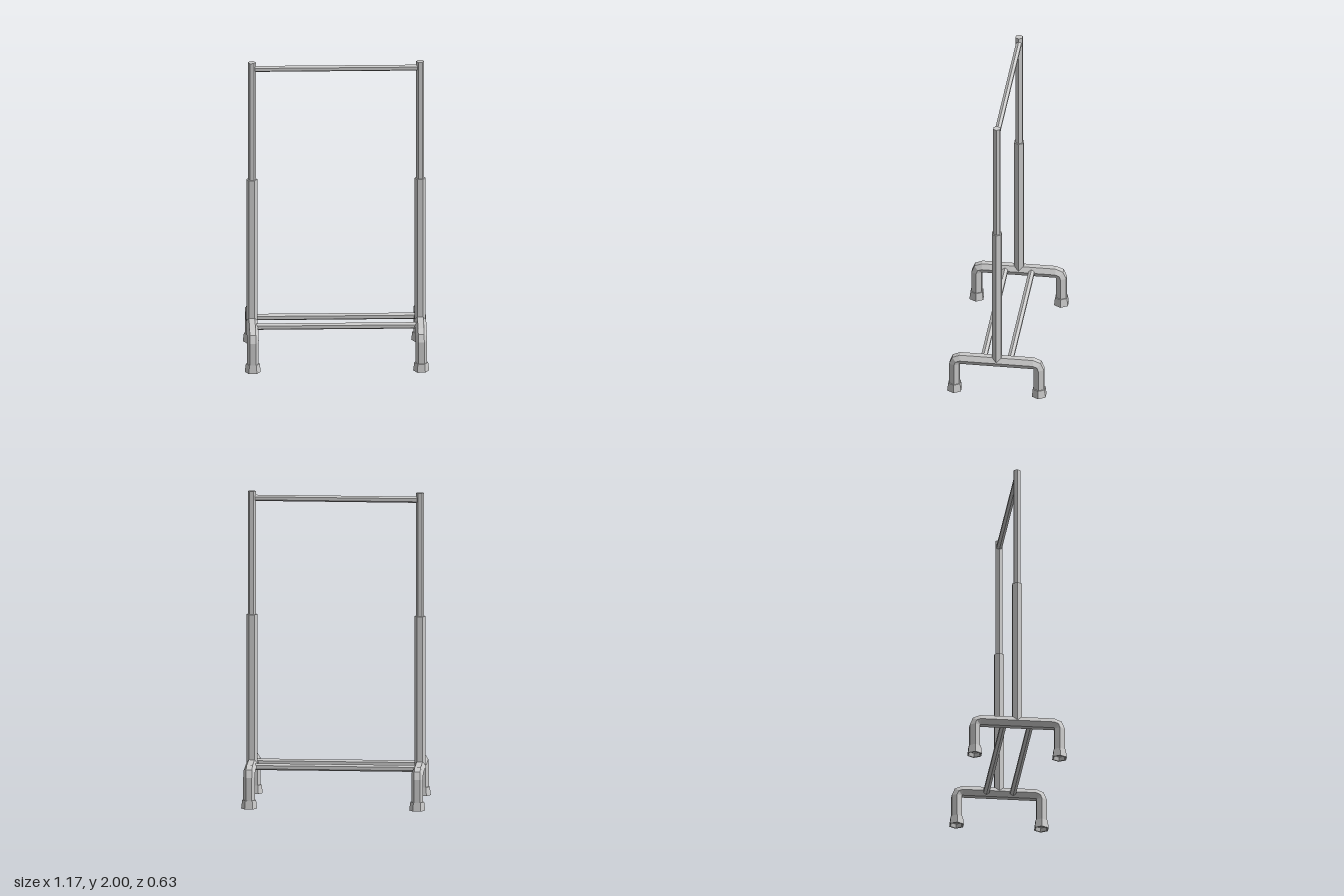
import * as THREE from 'three';

const HALF_WIDTH = 0.535; // x of the two uprights
const LEG_Z = 0.271;      // z of the feet
const BASE_R = 0.0375;    // hexagon radius of the bent base tube

const material = new THREE.MeshStandardMaterial({ color: 0xcccccc, flatShading: true });

function addMesh(parent, name, geometry, x = 0, y = 0, z = 0) {
  const mesh = new THREE.Mesh(geometry, material);
  mesh.name = name;
  mesh.position.set(x, y, z);
  parent.add(mesh);
  return mesh;
}

// Vertical hexagonal tube with its corners toward +x and -x
function addPost(parent, name, radius, y0, y1) {
  const geometry = new THREE.CylinderGeometry(radius, radius, y1 - y0, 6, 1, false, Math.PI / 2);
  addMesh(parent, name, geometry, 0, (y0 + y1) / 2, 0);
}

// Horizontal hexagonal rail along x with its corners toward +y and -y
function addRail(parent, name, radius, halfLength, y, z) {
  const geometry = new THREE.CylinderGeometry(radius, radius, halfLength * 2, 6, 1, false, Math.PI / 2);
  geometry.rotateZ(Math.PI / 2);
  addMesh(parent, name, geometry, 0, y, z);
}

// Hexagonal tube swept down-up-across-down, each bend pivoting on its inner side
function baseGeometry() {
  const apothem = BASE_R * Math.cos(Math.PI / 6);
  const inner = 0.003;
  const pz = LEG_Z - apothem - inner;
  const py = 0.237 - apothem - inner;
  const bottom = 0.025;
  // Stations: pivot z, pivot y, angle of the outward direction
  const stations = [
    [pz, bottom, 0], [pz, py, 0], [pz, py, 45], [pz, py, 90],
    [-pz, py, 90], [-pz, py, 135], [-pz, py, 180], [-pz, bottom, 180],
  ];
  const positions = [];
  const index = [];
  for (const [z, y, degrees] of stations) {
    const angle = THREE.MathUtils.degToRad(degrees);
    for (let j = 0; j < 6; j++) {
      const t = (j * Math.PI) / 3;
      const d = inner + apothem + BASE_R * Math.sin(t);
      positions.push(BASE_R * Math.cos(t), y + d * Math.sin(angle), z + d * Math.cos(angle));
    }
  }
  const last = (stations.length - 1) * 6;
  for (let i = 0; i < last; i += 6) {
    for (let j = 0; j < 6; j++) {
      const k = (j + 1) % 6;
      index.push(i + j, i + 6 + k, i + k, i + j, i + 6 + j, i + 6 + k);
    }
  }
  // End caps
  for (let j = 1; j < 5; j++) {
    index.push(0, j, j + 1, last, last + j + 1, last + j);
  }
  const geometry = new THREE.BufferGeometry();
  geometry.setAttribute('position', new THREE.Float32BufferAttribute(positions, 3));
  geometry.setIndex(index);
  geometry.computeVertexNormals();
  return geometry;
}

// Flared hexagonal foot, hollow underneath
function footGeometry() {
  const profile = [
    [0.036, 0.025], [0.042, 0], [0.051, 0], [0.044, 0.055], [0.036, 0.055],
  ].map(([r, y]) => new THREE.Vector2(r, y));
  return new THREE.LatheGeometry(profile, 6, Math.PI / 2);
}

export function createModel() {
  const model = new THREE.Group();
  model.name = 'clothesRack';

  // Two matching side frames
  for (const side of [-1, 1]) {
    const frame = new THREE.Group();
    frame.name = side > 0 ? 'leftFrame' : 'rightFrame';
    frame.position.x = side * HALF_WIDTH;
    model.add(frame);

    addMesh(frame, 'baseTube', baseGeometry());
    addMesh(frame, 'frontFoot', footGeometry(), 0, 0, LEG_Z);
    addMesh(frame, 'backFoot', footGeometry(), 0, 0, -LEG_Z);
    addPost(frame, 'lowerPost', 0.035, 0.237, 1.205);
    addPost(frame, 'upperPost', 0.0255, 1.18, 2);
  }

  // Rails joining the frames
  addRail(model, 'hangingRail', 0.02, 0.516, 1.956, 0);
  addRail(model, 'frontLowerRail', 0.0215, 0.508, 0.235, 0.087);
  addRail(model, 'backLowerRail', 0.0215, 0.508, 0.235, -0.083);

  return model;
}
